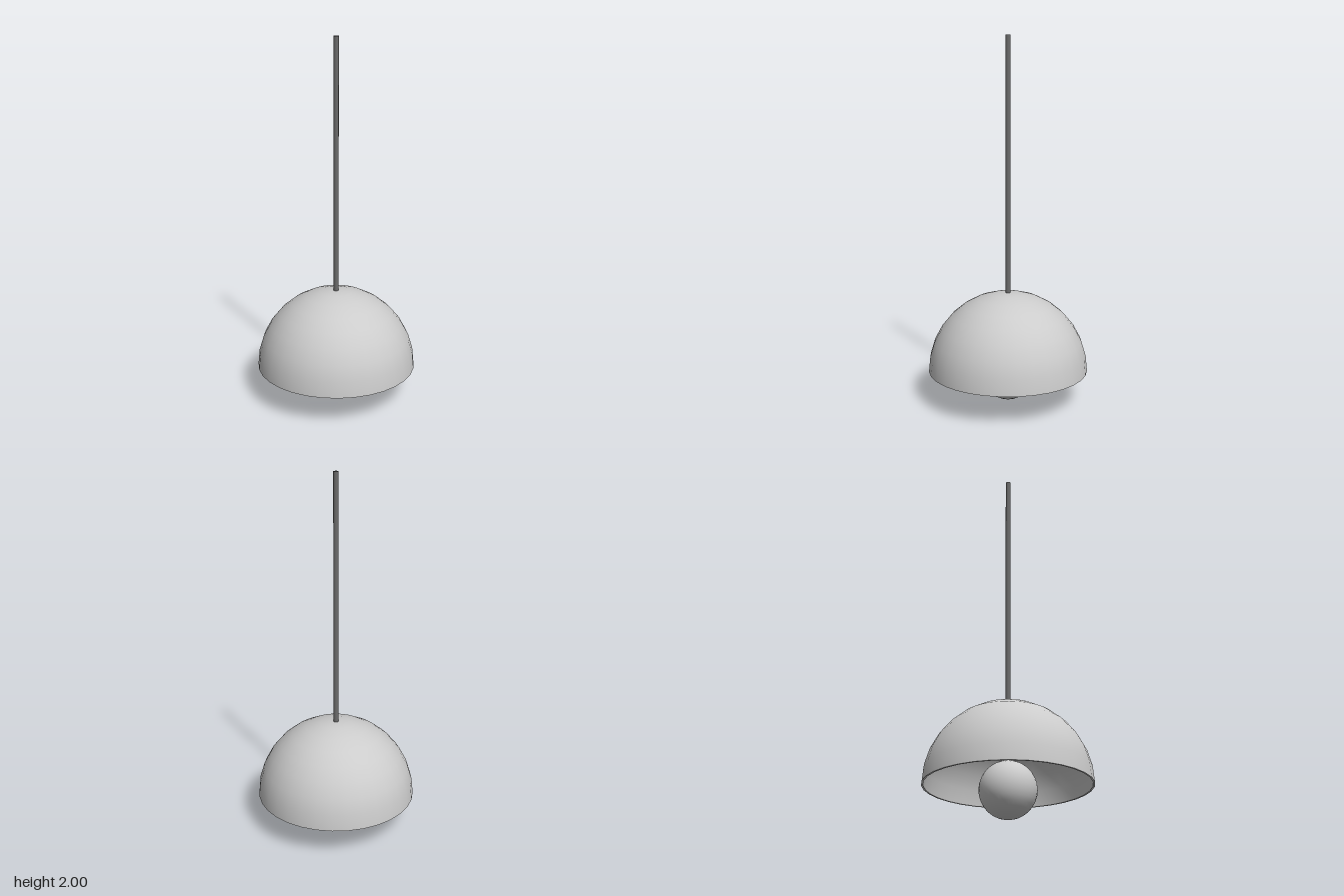
import * as THREE from 'three';
import { toCreasedNormals } from 'three/addons/utils/BufferGeometryUtils.js';

const SHADE_RADIUS = 0.44;
const SHADE_INNER = 0.43;
const RIM_Y = 0.17;
const BULB_RADIUS = 0.15;
const CORD_RADIUS = 0.014;
const TOP_Y = 2;

// Quarter circle from the rim (angle 0) up to the apex
function quarterArc(radius, steps) {
  return Array.from({ length: steps + 1 }, (_, i) => {
    const a = (i / steps) * Math.PI / 2;
    return new THREE.Vector2(i === steps ? 0 : radius * Math.cos(a), RIM_Y + radius * Math.sin(a));
  });
}

function addPart(group, name, geometry, color, y = 0) {
  const mesh = new THREE.Mesh(geometry, new THREE.MeshStandardMaterial({ color }));
  mesh.name = name;
  mesh.position.y = y;
  group.add(mesh);
}

export function createModel() {
  const lamp = new THREE.Group();
  lamp.name = 'pendantLamp';

  // Hollow dome: down the inside, across the rim, up the outside
  const profile = [...quarterArc(SHADE_INNER, 8).reverse(), ...quarterArc(SHADE_RADIUS, 8)];
  addPart(lamp, 'shade', toCreasedNormals(new THREE.LatheGeometry(profile, 32), 0.6), 0xcccccc);

  // Round bulb hanging below the rim
  addPart(lamp, 'bulb', new THREE.SphereGeometry(BULB_RADIUS, 32, 16), 0xcccccc, BULB_RADIUS);

  // Darker cord running through the shade into the bulb
  const cordBottom = 2 * BULB_RADIUS - 0.02;
  const length = TOP_Y - cordBottom;
  addPart(lamp, 'cord', new THREE.CylinderGeometry(CORD_RADIUS, CORD_RADIUS, length, 12),
    0x6b6b6b, cordBottom + length / 2);

  return lamp;
}
